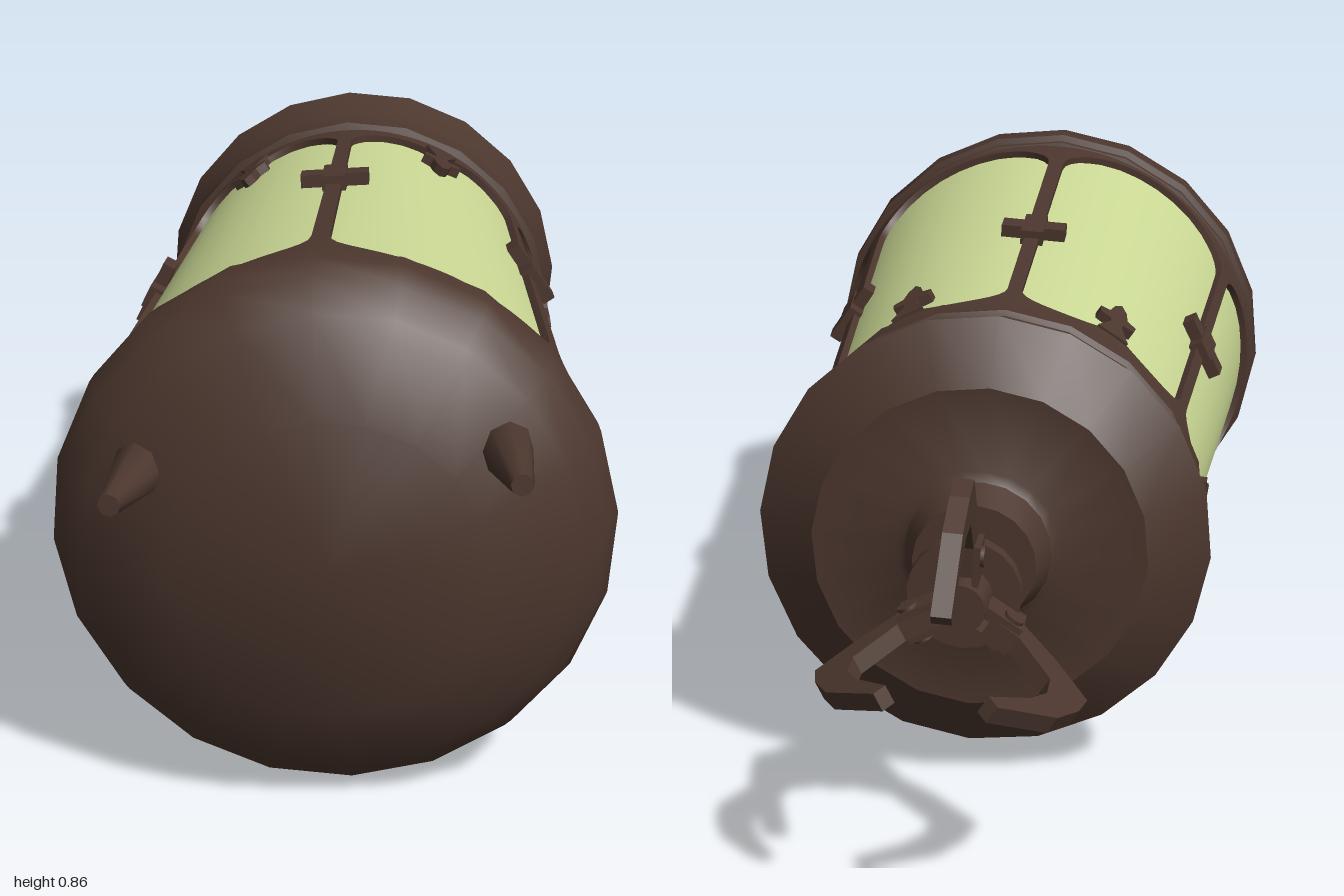
import * as THREE from 'three';
import { toCreasedNormals } from 'three/addons/utils/BufferGeometryUtils.js';

const TILT = 0.07;                 // twist of the whole lantern about its axis
const TOP = Math.PI / 2 + TILT;
const Z0 = -0.28, Z1 = 0.67;       // ends of the tapered body
const SLOPE = 0.077;
const bodyR = z => 0.415 + (z - Z1) * SLOPE;

export function createModel() {
  const metal = new THREE.MeshStandardMaterial({ color: 0x4c372e });
  metal.name = 'darkBronze';
  metal.side = THREE.DoubleSide;
  const glass = new THREE.MeshStandardMaterial({ color: 0xcbd995 });
  glass.name = 'paleGreenGlass';

  const model = new THREE.Group();
  model.name = 'lantern';
  const body = new THREE.Group();
  body.name = 'lanternBody';
  body.position.y = 0.433;
  model.add(body);

  const add = (parent, name, geo, mat = metal) => {
    const m = new THREE.Mesh(geo, mat);
    m.name = name;
    parent.add(m);
    return m;
  };
  const spoke = (name, angle) => {
    const g = new THREE.Group();
    g.name = name;
    g.rotation.z = angle;
    body.add(g);
    return g;
  };
  // Turned part about the z axis; points are [radius, z], z ascending
  const turned = (name, pts, mat = metal, sides = 20, crease = 0.6) => {
    const geo = new THREE.LatheGeometry(pts.map(p => new THREE.Vector2(...p)), sides, TILT);
    geo.rotateX(Math.PI / 2);
    return add(body, name, toCreasedNormals(geo, crease), mat);
  };

  turned('base', [[0.40, 0.655], [0.422, 0.662], [0.422, 0.676], [0.41, 0.68], [0.41, 0.69],
    [0.43, 0.698], [0.433, 0.735], [0.415, 0.775], [0.375, 0.815], [0.24, 0.9], [0, 0.902]], metal, 20, 0.8);
  turned('cap', [[0, -0.565], [0.1, -0.565], [0.12, -0.51], [0.135, -0.5], [0.275, -0.5],
    [0.374, -0.43], [0.347, -0.345], [0.347, -0.335], [0.356, -0.33], [0.356, -0.28], [0.33, -0.27]]);
  turned('neck', [[0, -0.75], [0.04, -0.75], [0.045, -0.69], [0.09, -0.69], [0.09, -0.665], [0.07, -0.665],
    [0.07, -0.64], [0.055, -0.64], [0.055, -0.615], [0.04, -0.615], [0.04, -0.56]]);
  turned('glassShade', [[bodyR(Z0) - 0.012, Z0], [bodyR(Z1) - 0.012, Z1]], glass, 60);

  add(body, 'windowFrame', frameGeometry());

  // Crosses on the ribs
  for (let k = 0; k < 6; k++) {
    const g = spoke('ribCross', TOP + k * Math.PI / 3);
    const parts = [[0.022, 0.115, 0.042], [0.026, 0.04, 0.095]];
    for (const size of parts) {
      const m = add(g, 'crossBar', new THREE.BoxGeometry(...size));
      m.position.set(bodyR(0.135), 0, 0.135);
      m.rotation.y = SLOPE;
    }
  }

  // Pointed ornaments at the narrow end of each window
  const half = [[0.03, -0.03], [0.012, 0.015], [0.012, 0.03], [0.034, 0.033],
    [0.036, 0.053], [0.018, 0.06], [0.012, 0.09]];
  const outline = [...half, [0, 0.11], ...half.map(([x, y]) => [-x, y]).reverse()];
  const spearGeo = new THREE.ExtrudeGeometry(
    new THREE.Shape(outline.map(p => new THREE.Vector2(...p))), { depth: 0.017, bevelEnabled: false });
  spearGeo.translate(0, 0, -0.013);
  spearGeo.applyMatrix4(new THREE.Matrix4().makeBasis(
    new THREE.Vector3(0, 1, 0), new THREE.Vector3(0, 0, 1), new THREE.Vector3(1, 0, 0)));
  for (let k = 0; k < 6; k++) {
    const m = add(spoke('windowOrnament', TOP + (k + 0.5) * Math.PI / 3), 'spear', spearGeo);
    m.position.set(bodyR(-0.2), 0, -0.2);
    m.rotation.y = SLOPE;
  }

  // Three-pronged claw; outline is (radius, z)
  const clawPts = [[0.05, -0.74], [0.065, -0.69], [0.1, -0.69], [0.165, -0.735], [0.232, -0.8],
    [0.222, -0.85], [0.19, -0.915], [0.095, -1.0], [0.078, -0.985], [0.14, -0.91],
    [0.165, -0.86], [0.165, -0.81], [0.1, -0.745]];
  const clawGeo = new THREE.ExtrudeGeometry(
    new THREE.Shape(clawPts.map(p => new THREE.Vector2(...p))), { depth: 0.03, bevelEnabled: false });
  clawGeo.translate(0, 0, -0.015);
  clawGeo.rotateX(Math.PI / 2);
  for (let k = 0; k < 3; k++) {
    const g = spoke('claw', TOP + k * Math.PI * 2 / 3);
    add(g, 'prong', clawGeo);
    add(g, 'hingePin', new THREE.CylinderGeometry(0.017, 0.017, 0.062, 10)).position.set(0.08, 0, -0.72);
    for (const s of [-1, 1]) {
      add(g, 'hingeLug', new THREE.BoxGeometry(0.065, 0.01, 0.06)).position.set(0.067, s * 0.02, -0.71);
    }
  }

  // Two splayed feet on the base
  const feet = [[-0.28, 0.135, -0.305, 0.147], [0.255, 0.177, 0.277, 0.189]];
  for (const [x0, y0, x1, y1] of feet) {
    const a = new THREE.Vector3(x0, y0, 0.83), b = new THREE.Vector3(x1, y1, 0.998);
    const dir = b.clone().sub(a);
    const geo = new THREE.CylinderGeometry(0.017, 0.043, dir.length(), 8);
    const m = add(body, 'foot', toCreasedNormals(geo, 0.9));
    m.position.copy(a).add(b).multiplyScalar(0.5);
    m.quaternion.setFromUnitVectors(new THREE.Vector3(0, 1, 0), dir.normalize());
  }
  return model;
}

// Six arched windows cut in a tapered shell, built in strips around the axis
function frameGeometry() {
  const W = 0.488, H = Math.PI / 6, N = 12, pos = [];
  const wideEnd = u => 0.645 - 0.1 * (1 - Math.pow(Math.max(0, 1 - Math.pow(Math.abs(u / W), 2.5)), 0.4));
  const narrowEnd = u => {
    const s = Math.abs(u) / W * 2 - 1;
    return -0.24 + 0.06 * (1 - Math.sqrt(Math.max(0, 1 - s * s)));
  };
  // Angles crowded toward the lobe edges
  const us = [];
  for (const c of [-W / 2, W / 2]) {
    for (let i = c < 0 ? 0 : 1; i <= N; i++) us.push(c - W / 2 * Math.cos(Math.PI * i / N));
  }
  const point = (angle, z, inset = 0) => {
    const r = bodyR(z) - inset;
    return [r * Math.cos(angle), r * Math.sin(angle), z];
  };
  const quad = (a, b, c, d) => pos.push(...a, ...b, ...c, ...a, ...c, ...d);

  for (let k = 0; k < 6; k++) {
    const mid = TOP + (k + 0.5) * Math.PI / 3;
    const patch = (u0, u1, a0, a1, b0, b1) =>
      quad(point(mid + u0, a0), point(mid + u1, a1), point(mid + u1, b1), point(mid + u0, b0));
    patch(-H, -W, Z0, Z0, Z1, Z1);
    patch(W, H, Z0, Z0, Z1, Z1);
    for (let i = 0; i + 1 < us.length; i++) {
      const u = us[i], v = us[i + 1];
      patch(u, v, Z0, Z0, narrowEnd(u), narrowEnd(v));
      patch(u, v, wideEnd(u), wideEnd(v), Z1, Z1);
    }
    // Thickness around the window opening
    const loop = [...us.map(u => [u, narrowEnd(u)]), ...us.map(u => [u, wideEnd(u)]).reverse()];
    loop.forEach(([u, z], i) => {
      const [v, y] = loop[(i + 1) % loop.length];
      quad(point(mid + u, z), point(mid + u, z, 0.014), point(mid + v, y, 0.014), point(mid + v, y));
    });
  }
  const geo = new THREE.BufferGeometry();
  geo.setAttribute('position', new THREE.Float32BufferAttribute(pos, 3));
  geo.computeVertexNormals();
  return toCreasedNormals(geo, 0.6);
}
